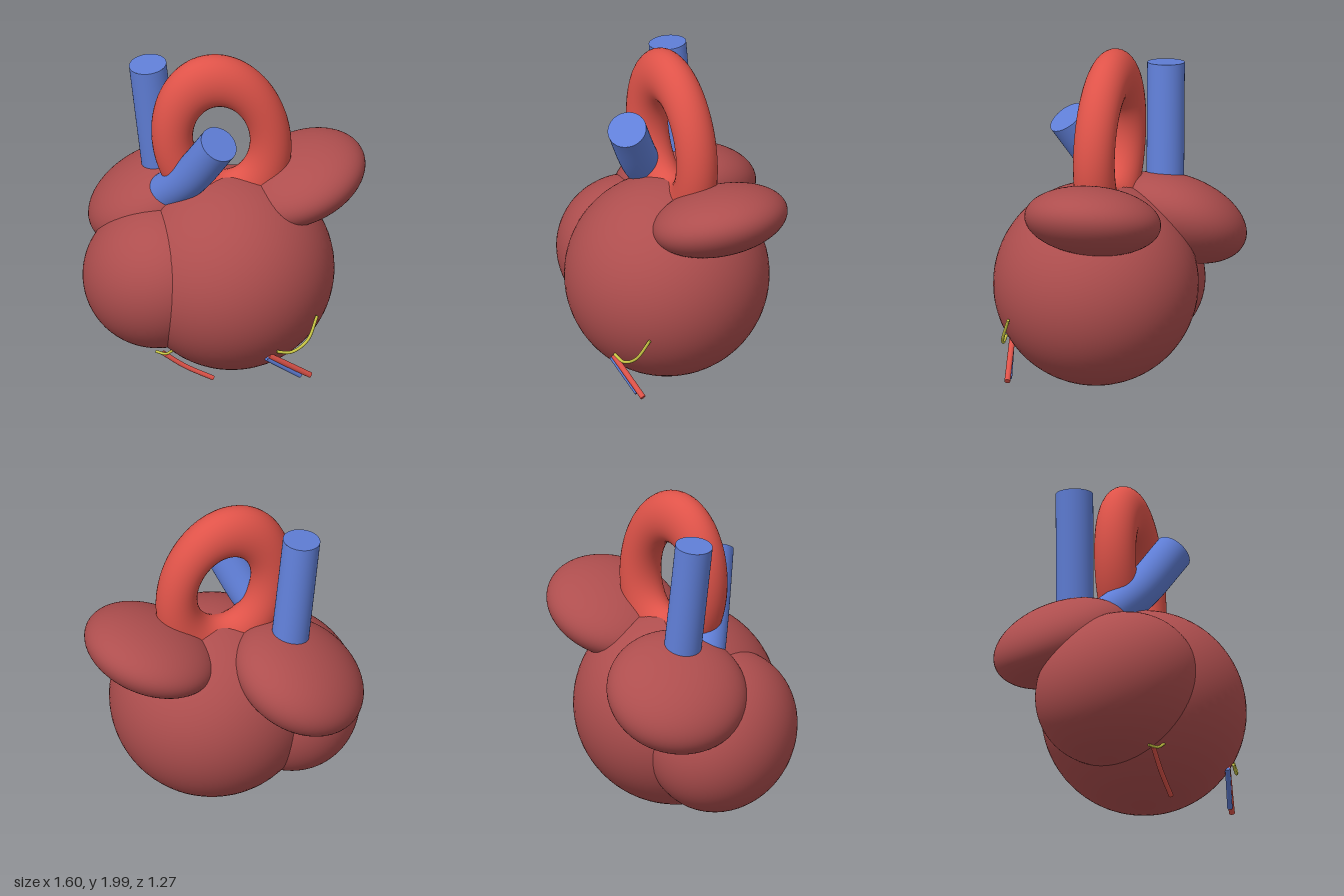
import * as THREE from 'three';

const mat = (name, color) => {
  const m = new THREE.MeshStandardMaterial({ color });
  m.name = name;
  return m;
};
const vec = (p) => new THREE.Vector3(...p);

export function createModel() {
  const group = new THREE.Group();
  const muscle = mat('muscle maroon', 0xae4e4e);
  const artery = mat('artery red', 0xdf5349);
  const vein = mat('vein blue', 0x607fd8);
  const nerve = mat('nerve yellow', 0xc8c544);

  const add = (name, geometry, material) => {
    const mesh = new THREE.Mesh(geometry, material);
    mesh.name = name;
    group.add(mesh);
    return mesh;
  };

  // Chamber: a spheroid with its own axis length and equator radius
  const chamber = (name, centre, axis, along, across) => {
    const mesh = add(name, new THREE.SphereGeometry(1, 64, 40), muscle);
    mesh.position.set(...centre);
    mesh.scale.set(across, along, across);
    mesh.quaternion.setFromUnitVectors(new THREE.Vector3(0, 1, 0), vec(axis).normalize());
  };

  // Vessel: a tube along a few points, closed by flat discs at both ends
  const vessel = (name, points, radius, material, sides = 12) => {
    const curve = new THREE.CatmullRomCurve3(points.map(vec));
    const part = add(name, new THREE.TubeGeometry(curve, 24, radius, sides), material);
    for (const t of [0, 1]) {
      const cap = new THREE.Mesh(new THREE.CircleGeometry(radius, sides), material);
      cap.name = name + 'End';
      cap.position.copy(curve.getPointAt(t));
      const out = curve.getTangentAt(t).multiplyScalar(t ? 1 : -1);
      cap.quaternion.setFromUnitVectors(new THREE.Vector3(0, 0, 1), out);
      part.add(cap);
    }
  };

  // Four chambers
  chamber('leftVentricle', [0.1, 0.63, 0.02], [0, 1, 0], 0.59, 0.59);
  chamber('rightVentricle', [-0.29, 0.6, 0.17], [1, 1, 1], 0.49, 0.43);
  chamber('leftAtrium', [0.42, 1.13, -0.255], [-0.105, 0.319, 0.055], 0.2, 0.394);
  chamber('rightAtrium', [-0.425, 0.94, -0.137], [-0.5, 0.866, 0], 0.24, 0.408);

  // Great arterial loop
  const aorta = add('aorta', new THREE.TorusGeometry(0.285, 0.12, 32, 80), artery);
  aorta.position.set(0.025, 1.455, -0.017);
  aorta.rotation.set(0, 0.43, 0.2);
  aorta.scale.set(0.98, 1.36, 1);

  // Large blue vessels
  vessel('venaCava', [[-0.352, 1.0, -0.1], [-0.39, 1.42, -0.068], [-0.428, 1.85, -0.036]], 0.108, vein, 40);
  vessel('pulmonaryTrunk', [[-0.3, 1.07, 0.07], [-0.1, 1.28, 0.16], [0.1, 1.575, 0.25]], 0.113, vein, 40);

  // Small vessels on the lower front
  vessel('frontCoronaryArtery', [[-0.2, 0.2, 0.37], [-0.08, 0.105, 0.32], [0.07, 0.02, 0.26]], 0.014, artery);
  vessel('sideCoronaryArtery', [[0.44, 0.295, 0.36], [0.64, 0.12, 0.21]], 0.017, artery);
  vessel('sideCoronaryVein', [[0.43, 0.28, 0.37], [0.59, 0.125, 0.24]], 0.015, vein);

  // Thin nerve branches
  vessel('frontNerve', [[-0.24, 0.2, 0.37], [-0.175, 0.205, 0.385], [-0.13, 0.24, 0.39]], 0.008, nerve);
  vessel('sideNerve', [[0.49, 0.33, 0.36], [0.56, 0.315, 0.315], [0.635, 0.37, 0.25], [0.67, 0.5, 0.175]], 0.009, nerve);

  return group;
}
